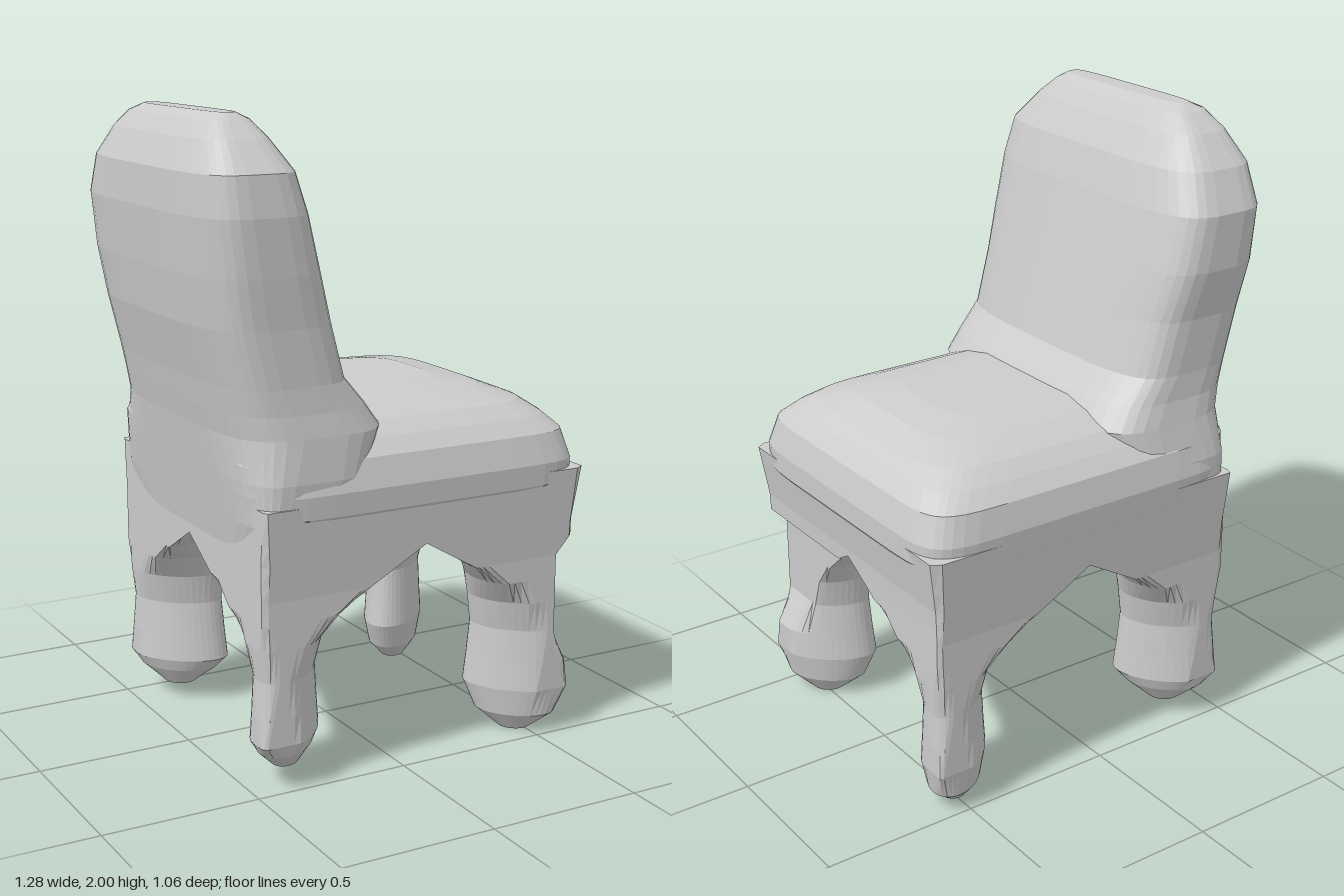
import * as THREE from 'three';

const SEG = 40;
const material = new THREE.MeshStandardMaterial({ color: 0xcccccc, flatShading: true });

// Skin a stack of rings (listed bottom to top) and close both ends.
function loft(name, rings) {
  const pos = rings.flat(2), index = [];
  const top = rings.length - 1;
  for (let i = 0; i < top; i++) {
    for (let j = 0; j < SEG; j++) {
      const a = i * SEG + j, b = i * SEG + (j + 1) % SEG;
      index.push(a, a + SEG, b, b, a + SEG, b + SEG);
    }
  }
  for (const level of [0, top]) {
    const c = [0, 0, 0];
    for (const p of rings[level]) p.forEach((v, k) => { c[k] += v / SEG; });
    const ci = pos.length / 3;
    pos.push(...c);
    for (let j = 0; j < SEG; j++) {
      const a = level * SEG + j, b = level * SEG + (j + 1) % SEG;
      if (level === 0) index.push(ci, a, b);
      else index.push(ci, b, a);
    }
  }
  const geometry = new THREE.BufferGeometry();
  geometry.setAttribute('position', new THREE.Float32BufferAttribute(pos, 3));
  geometry.setIndex(index);
  geometry.computeVertexNormals();
  const mesh = new THREE.Mesh(geometry, material);
  mesh.name = name;
  return mesh;
}

const ringOf = (fn) => Array.from({ length: SEG }, (_, j) => fn(((j + 0.5) / SEG) * Math.PI * 2));

// Rounded rectangle between bounds; a higher n gives squarer corners.
function roundedRing([y, x0, x1, z0, z1, n]) {
  const bend = (v) => Math.sign(v) * Math.pow(Math.abs(v), 2 / n);
  return ringOf((t) => [
    (x0 + x1) / 2 + (x1 - x0) / 2 * bend(Math.cos(t)),
    y,
    (z0 + z1) / 2 + (z1 - z0) / 2 * bend(Math.sin(t)),
  ]);
}

// Leg: oval set along the diagonal, widening into the arches under the seat.
// Each row: height, half length toward the centre, half width across, inward shift.
const legRows = [
  [0.0, 0.05, 0.04, 0.0], [0.06, 0.13, 0.08, 0.0], [0.15, 0.17, 0.095, 0.0],
  [0.24, 0.16, 0.09, 0.0], [0.35, 0.15, 0.085, 0.0], [0.45, 0.16, 0.11, 0.0],
  [0.53, 0.17, 0.17, 0.0], [0.6, 0.18, 0.28, 0.0], [0.655, 0.19, 0.42, 0.0],
  [0.71, 0.2, 0.56, 0.0], [0.78, 0.22, 0.72, 0.0], [0.88, 0.24, 0.85, 0.0],
];

function leg(name, sx, sz, pinch) {
  const cx = sx > 0 ? 0.485 : -0.355, cz = 0.385 * sz;
  const rings = legRows.map(([y0, len, wide]) => {
    const y = sx < 0 && y0 < 0.1 ? y0 + 0.05 : y0;
    // slimmer outer face on the pinched leg
    const xMax = pinch && y > 0.3 && y < 0.65 ? 0.55 : 0.61 + Math.max(0, y - 0.7) * 0.15;
    const zMax = 0.505 + Math.max(0, y - 0.6) * 0.08;
    return ringOf((t) => {
      const d = Math.cos(t) * len, w = Math.sin(t) * wide;
      const x = cx + sx * (d - w * sx * sz) * Math.SQRT1_2;
      const z = cz + sz * (d + w * sx * sz) * Math.SQRT1_2;
      return [
        THREE.MathUtils.clamp(x, -0.485, xMax),
        y,
        THREE.MathUtils.clamp(z, -zMax, zMax),
      ];
    });
  });
  return loft(name, rings);
}

export function createModel() {
  const chair = new THREE.Group();
  chair.name = 'chair';

  // Seat: thick cushion, domed on top and rounded underneath
  chair.add(loft('seat', [
    [0.655, -0.05, 0.28, -0.15, 0.15, 3],
    [0.67, -0.2, 0.4, -0.28, 0.28, 4],
    [0.71, -0.36, 0.5, -0.4, 0.4, 5],
    [0.77, -0.46, 0.59, -0.48, 0.48, 7],
    [0.84, -0.5, 0.64, -0.525, 0.53, 9],
    [0.91, -0.51, 0.64, -0.53, 0.535, 9],
    [1.0, -0.52, 0.615, -0.51, 0.51, 9],
    [1.045, -0.52, 0.575, -0.465, 0.465, 8],
    [1.085, -0.5, 0.525, -0.41, 0.41, 7],
    [1.12, -0.45, 0.44, -0.32, 0.32, 5],
    [1.14, -0.4, 0.32, -0.22, 0.22, 4],
  ].map(roundedRing)));

  // Backrest: leans back, flares at the foot and rounds over at the top
  chair.add(loft('backrest', [
    [0.72, -0.485, -0.3, -0.42, 0.42, 6],
    [0.82, -0.5, -0.2, -0.52, 0.52, 6],
    [0.95, -0.52, -0.1, -0.52, 0.53, 5],
    [1.08, -0.54, -0.02, -0.49, 0.52, 4],
    [1.15, -0.555, -0.07, -0.475, 0.51, 4],
    [1.23, -0.57, -0.14, -0.47, 0.505, 4],
    [1.4, -0.61, -0.185, -0.475, 0.505, 4],
    [1.55, -0.63, -0.225, -0.5, 0.515, 4],
    [1.72, -0.645, -0.27, -0.5, 0.52, 4],
    [1.84, -0.64, -0.31, -0.44, 0.505, 4],
    [1.93, -0.6, -0.365, -0.355, 0.42, 4],
    [1.98, -0.565, -0.405, -0.285, 0.36, 4],
    [2.0, -0.52, -0.45, -0.24, 0.33, 4],
  ].map(roundedRing)));

  // Four legs, one at each corner
  chair.add(leg('frontLeftLeg', 1, -1, false));
  chair.add(leg('frontRightLeg', 1, 1, true));
  chair.add(leg('backLeftLeg', -1, -1, false));
  chair.add(leg('backRightLeg', -1, 1, false));

  // Mirrored rings need their winding kept outward
  chair.children.forEach((mesh) => {
    const g = mesh.geometry, p = g.attributes.position, ix = g.index.array;
    const [a, b, c] = [0, 1, 2].map(() => new THREE.Vector3());
    let volume = 0;
    for (let i = 0; i < ix.length; i += 3) {
      [a, b, c].forEach((v, k) => v.fromBufferAttribute(p, ix[i + k]));
      volume += a.dot(b.cross(c));
    }
    if (volume < 0) {
      for (let i = 0; i < ix.length; i += 3) [ix[i], ix[i + 1]] = [ix[i + 1], ix[i]];
      g.computeVertexNormals();
    }
  });
  return chair;
}
